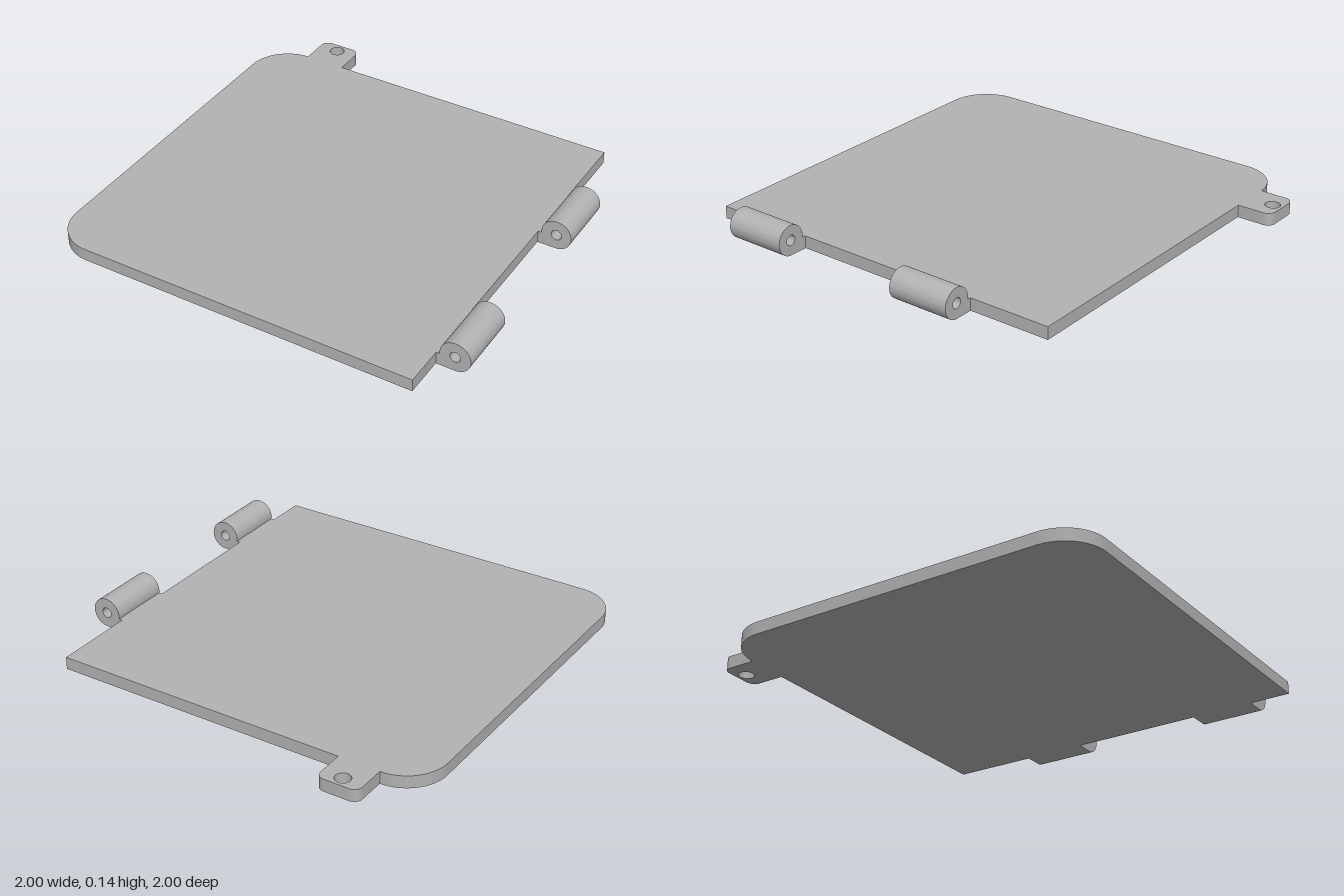
import * as THREE from 'three';
import { toCreasedNormals } from 'three/addons/utils/BufferGeometryUtils.js';

const THICK = 0.06;

function extrude(shape, depth) {
  const geo = new THREE.ExtrudeGeometry(shape, { depth, bevelEnabled: false, curveSegments: 24 });
  return toCreasedNormals(geo, 0.5);
}

function hole(shape, x, y, r) {
  shape.holes.push(new THREE.Path().absarc(x, y, r, 0, Math.PI * 2, true));
}

// Flat panel with two rounded corners and a drilled latch tab (shape y = -z)
function panelGeometry() {
  const s = new THREE.Shape();
  s.moveTo(-0.8, -1);
  s.lineTo(0.84, -1);
  s.lineTo(0.84, 0.83);
  s.lineTo(-0.6, 0.83);
  s.absarc(-0.64, 0.96, 0.04, 0, Math.PI / 2);
  s.absarc(-0.76, 0.96, 0.04, Math.PI / 2, Math.PI);
  s.lineTo(-0.8, 0.83);
  s.absarc(-0.8, 0.63, 0.2, Math.PI / 2, Math.PI);
  s.absarc(-0.8, -0.8, 0.2, Math.PI, Math.PI * 1.5);
  hole(s, -0.7, 0.95, 0.036);
  return extrude(s, THICK).rotateX(-Math.PI / 2);
}

// Hinge barrel with pin hole, joined to the panel by a short web
function knuckleGeometry() {
  const cx = 0.928, r = 0.072;
  const s = new THREE.Shape();
  s.moveTo(0.84, 0);
  s.lineTo(cx, 0);
  s.absarc(cx, r, r, -Math.PI / 2, Math.PI + Math.asin((r - THICK) / r));
  s.lineTo(0.84, THICK);
  hole(s, cx, r, 0.025);
  return extrude(s, 0.302);
}

export function createModel() {
  const group = new THREE.Group();
  const grey = new THREE.MeshStandardMaterial({ color: 0xb2b2b2 });
  grey.name = 'grey';

  const panel = new THREE.Mesh(panelGeometry(), grey);
  panel.name = 'panel';
  group.add(panel);

  const knuckle = knuckleGeometry();
  [['frontHingeKnuckle', 0.503], ['backHingeKnuckle', -0.432]].forEach(([name, z]) => {
    const mesh = new THREE.Mesh(knuckle, grey);
    mesh.name = name;
    mesh.position.z = z;
    group.add(mesh);
  });
  return group;
}
